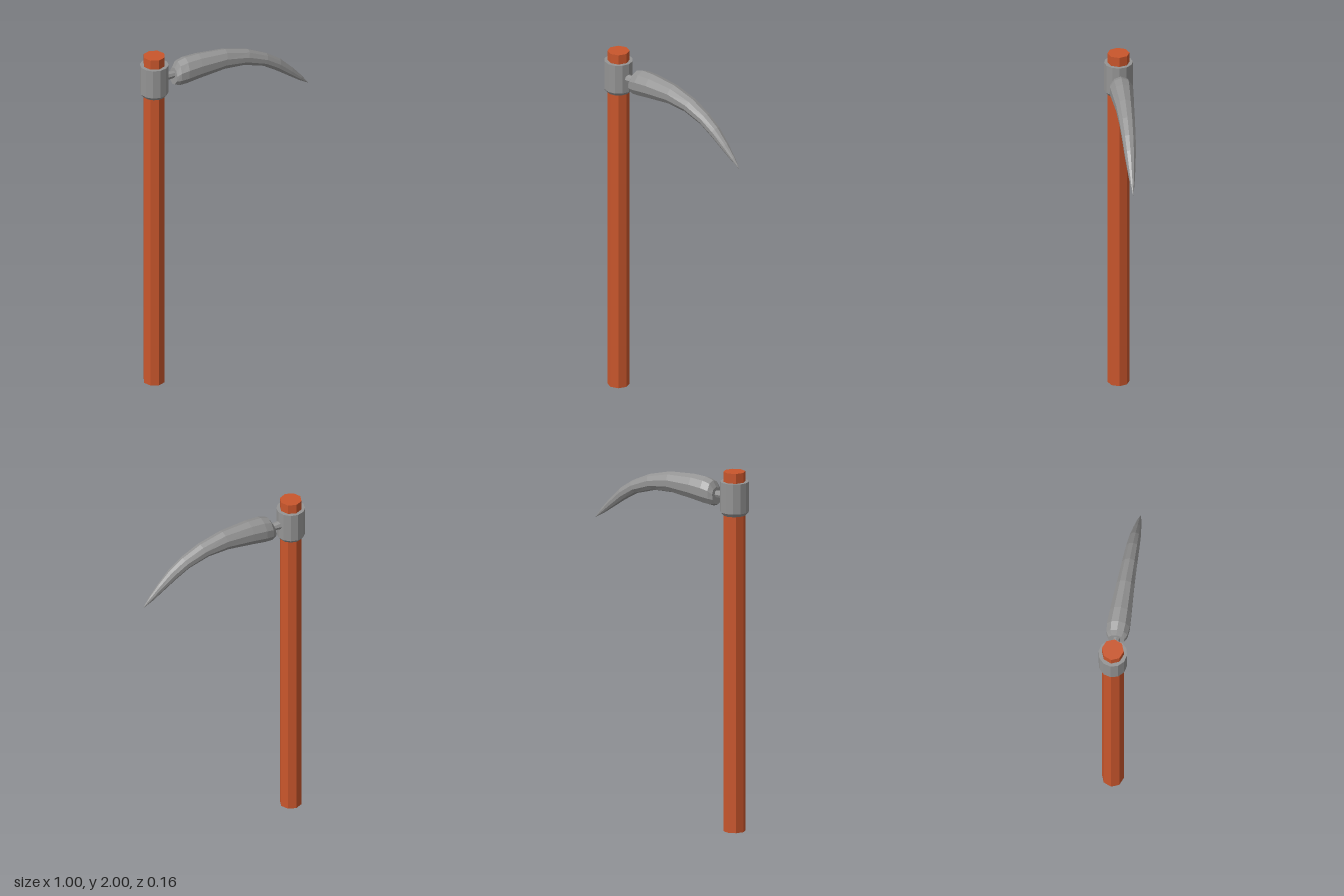
import * as THREE from 'three';

const HANDLE_X = -0.427;

// Blade sections: [top x, top y, bottom x, bottom y, half width in z]
const SECTIONS = [
  [-0.305, 1.895, -0.317, 1.80, 0.045],
  [-0.285, 1.93, -0.292, 1.79, 0.06],
  [-0.24, 1.944, -0.25, 1.793, 0.066],
  [-0.16, 1.948, -0.17, 1.805, 0.062],
  [0.0, 1.938, -0.02, 1.824, 0.051],
  [0.14, 1.903, 0.10, 1.82, 0.044],
  [0.25, 1.853, 0.22, 1.785, 0.038],
  [0.33, 1.80, 0.30, 1.738, 0.032],
  [0.405, 1.727, 0.375, 1.687, 0.022],
  [0.46, 1.665, 0.445, 1.64, 0.012],
  [0.50, 1.61, 0.50, 1.61, 0],
];

// Lofts oval rings through the blade sections and closes the blunt end
function bladeGeometry(sides = 10) {
  const pos = [], index = [];
  for (const [tx, ty, bx, by, w] of SECTIONS) {
    for (let j = 0; j < sides; j++) {
      const a = (j / sides) * Math.PI * 2;
      const t = (1 + Math.cos(a)) / 2;
      pos.push(bx + (tx - bx) * t, by + (ty - by) * t, w * Math.sin(a));
    }
  }
  for (let i = 0; i < SECTIONS.length - 1; i++) {
    for (let j = 0; j < sides; j++) {
      const k = (j + 1) % sides;
      const a = i * sides + j, b = i * sides + k;
      index.push(a, b, a + sides);
      if (i < SECTIONS.length - 2) index.push(b, b + sides, a + sides);
    }
  }
  for (let j = 1; j < sides - 1; j++) index.push(0, j + 1, j);
  const g = new THREE.BufferGeometry();
  g.setAttribute('position', new THREE.Float32BufferAttribute(pos, 3));
  g.setIndex(index);
  g.computeVertexNormals();
  return g;
}

export function createModel() {
  const group = new THREE.Group();
  const wood = new THREE.MeshStandardMaterial({ color: 0xc9562c, flatShading: true });
  wood.name = 'wood';
  const metal = new THREE.MeshStandardMaterial({ color: 0x949494, flatShading: true });
  metal.name = 'metal';

  const add = (name, geometry, material, x = 0, y = 0) => {
    const mesh = new THREE.Mesh(geometry, material);
    mesh.name = name;
    mesh.position.set(x, y, 0);
    group.add(mesh);
    return mesh;
  };

  // Faceted shaft, one corner facing away from the blade
  const shaft = new THREE.CylinderGeometry(0.06, 0.06, 2, 8);
  shaft.rotateY(Math.PI / 2);
  add('handle', shaft, wood, HANDLE_X, 1);

  // Collar with a bevelled lower rim
  const profile = [[0.05, 1.76], [0.064, 1.76], [0.078, 1.778], [0.078, 1.945], [0.05, 1.945]]
    .map(([r, y]) => new THREE.Vector2(r, y));
  add('collar', new THREE.LatheGeometry(profile, 12), metal, HANDLE_X);

  // Short neck between collar and blade
  const neck = new THREE.CylinderGeometry(0.018, 0.026, 0.08, 8);
  neck.rotateZ(-Math.PI / 2);
  add('neck', neck, metal, -0.332, 1.858);

  add('blade', bladeGeometry(), metal);
  return group;
}
